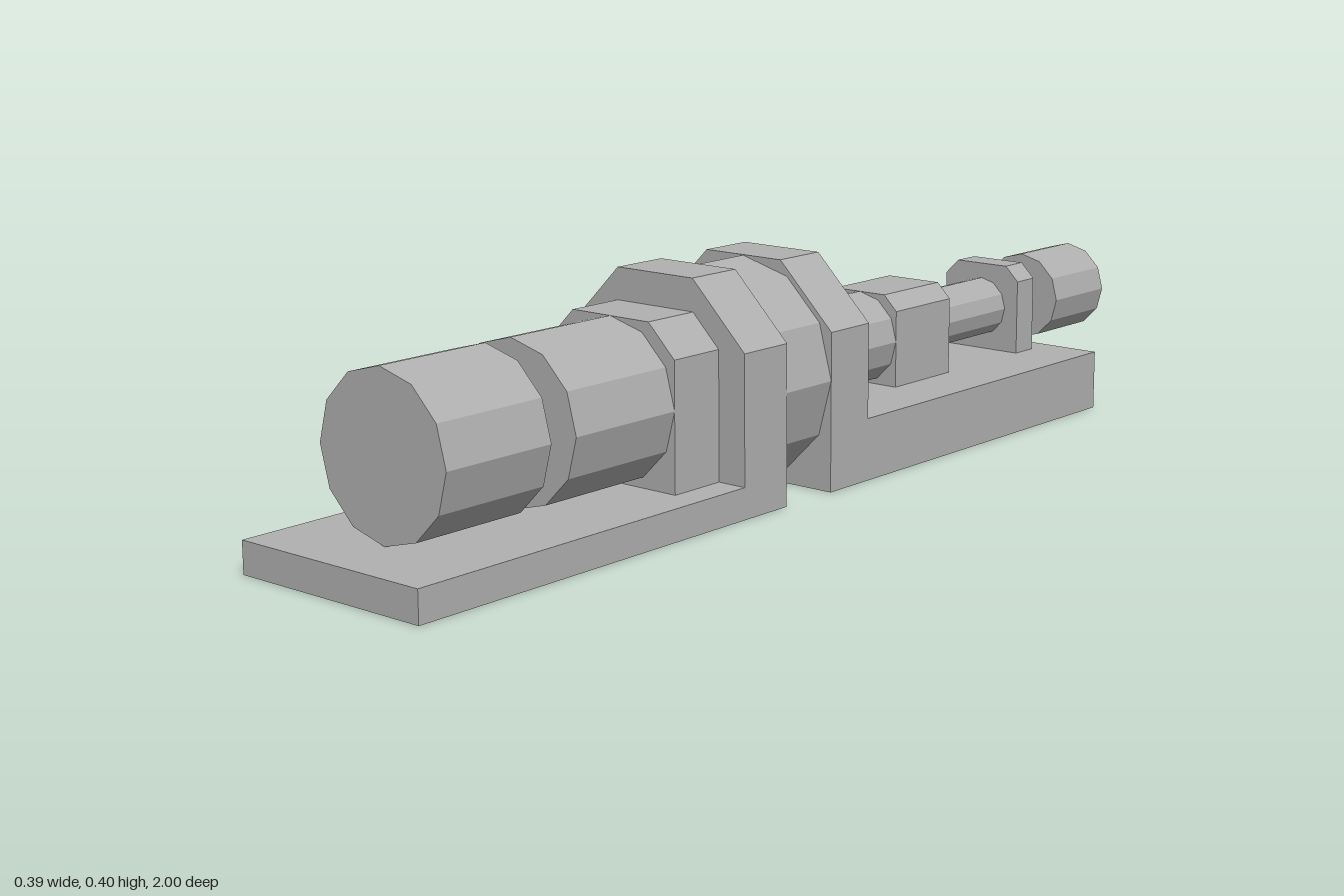
import * as THREE from 'three';

export function createModel() {
  const group = new THREE.Group();
  const gray = new THREE.MeshStandardMaterial({ color: 0xb0b0b0, flatShading: true });
  const AXIS_Y = 0.197;

  function add(name, geometry) {
    const mesh = new THREE.Mesh(geometry, gray);
    mesh.name = name;
    group.add(mesh);
  }

  // Extrude an outline in x, y between two z positions
  function prism(name, points, z0, z1) {
    const shape = new THREE.Shape(points.map(([x, y]) => new THREE.Vector2(x, y)));
    const geometry = new THREE.ExtrudeGeometry(shape, { depth: z1 - z0, bevelEnabled: false });
    add(name, geometry.translate(0, 0, z0));
  }

  // Block with chamfered top corners
  function housing(name, w, y0, y1, chamfer, z0, z1) {
    prism(name, [
      [-w, y0], [w, y0], [w, y1 - chamfer], [w - chamfer, y1],
      [chamfer - w, y1], [-w, y1 - chamfer],
    ], z0, z1);
  }

  // Plain block
  function block(name, w, y0, y1, z0, z1) {
    const geometry = new THREE.BoxGeometry(2 * w, y1 - y0, z1 - z0);
    add(name, geometry.translate(0, (y0 + y1) / 2, (z0 + z1) / 2));
  }

  // Twelve-sided drum on the main axis
  function drum(name, r, z0, z1) {
    const geometry = new THREE.CylinderGeometry(r, r, z1 - z0, 12);
    add(name, geometry.rotateX(Math.PI / 2).translate(0, AXIS_Y, (z0 + z1) / 2));
  }

  // Base plates, split by the large wheel
  block('frontBase', 0.197, 0, 0.056, 0.27, 1);
  block('rearBase', 0.197, 0, 0.112, -0.8, -0.065);

  // Large bearing housings around the wheel
  housing('frontMainHousing', 0.197, 0, 0.395, 0.113, 0.16, 0.27);
  housing('rearMainHousing', 0.197, 0, 0.395, 0.113, -0.065, 0.04);
  drum('mainWheel', 0.197, 0.04, 0.16);

  // Front drums and their housing
  housing('frontHousing', 0.141, 0.056, 0.338, 0.056, 0.27, 0.38);
  drum('motorDrum', 0.141, 0.38, 0.61);
  drum('frontDrum', 0.141, 0.665, 0.886);

  // Rear shaft line
  housing('rearInnerHousing', 0.085, 0.112, 0.282, 0.028, -0.175, -0.065);
  drum('rearCoupling', 0.085, -0.295, -0.175);
  housing('rearMiddleHousing', 0.085, 0.112, 0.282, 0.028, -0.463, -0.295);
  drum('rearShaft', 0.056, -0.69, -0.463);
  housing('rearOuterHousing', 0.085, 0.112, 0.282, 0.028, -0.745, -0.69);
  block('endBracket', 0.029, 0.112, 0.226, -0.8, -0.745);
  drum('endDrum', 0.085, -1, -0.83);

  // Terminal strip with bent pins under the motor drum
  prism('terminalStrip', [
    [-0.133, 0.056], [-0.095, 0.056], [-0.095, 0.07], [-0.133, 0.07],
  ], 0.38, 0.61);
  for (let i = 0; i < 4; i++) {
    const z = 0.41 + i * 0.054;
    prism('terminalPin', [
      [-0.123, 0.07], [-0.108, 0.07], [-0.108, 0.094], [-0.092, 0.11],
      [-0.1, 0.123], [-0.123, 0.1],
    ], z, z + 0.016);
  }

  return group;
}
